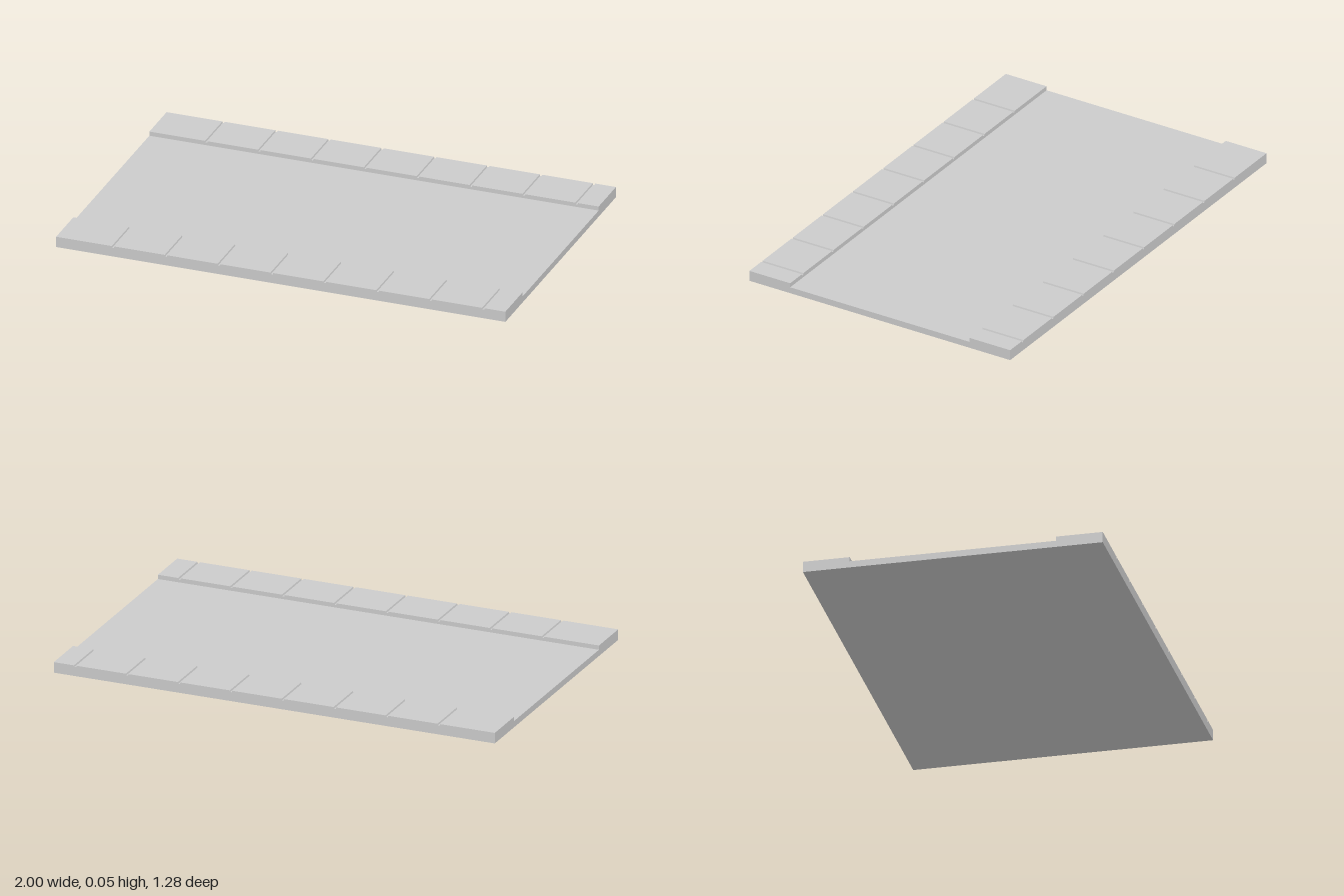
import * as THREE from 'three';

const LENGTH = 2, HALF_WIDTH = 0.64, PAVEMENT = 0.2;
const ROAD_TOP = 0.028, PAVEMENT_TOP = 0.047;
const FIRST_JOINT = -0.746, JOINT_STEP = 0.2355, JOINTS = 8, JOINT_DEPTH = 0.007;

// Side outline of a pavement: a long slab with narrow joints cut into its top
function pavementGeometry() {
  const shape = new THREE.Shape();
  shape.moveTo(-LENGTH / 2, 0);
  shape.lineTo(LENGTH / 2, 0);
  shape.lineTo(LENGTH / 2, PAVEMENT_TOP);
  for (let i = JOINTS - 1; i >= 0; i--) {
    const x = FIRST_JOINT + i * JOINT_STEP;
    shape.lineTo(x + 0.006, PAVEMENT_TOP);
    shape.lineTo(x + 0.004, PAVEMENT_TOP - JOINT_DEPTH);
    shape.lineTo(x - 0.004, PAVEMENT_TOP - JOINT_DEPTH);
    shape.lineTo(x - 0.006, PAVEMENT_TOP);
  }
  shape.lineTo(-LENGTH / 2, PAVEMENT_TOP);
  shape.closePath();
  return new THREE.ExtrudeGeometry(shape, { depth: PAVEMENT, bevelEnabled: false });
}

export function createModel() {
  const group = new THREE.Group();
  group.name = 'roadSection';
  const material = new THREE.MeshStandardMaterial({ color: 0xcccccc, flatShading: true });

  // Flat roadway between the pavements
  const roadWidth = 2 * (HALF_WIDTH - PAVEMENT);
  const road = new THREE.Mesh(new THREE.BoxGeometry(LENGTH, ROAD_TOP, roadWidth), material);
  road.name = 'roadway';
  road.position.y = ROAD_TOP / 2;
  group.add(road);

  // Raised pavements along both long edges
  const geometry = pavementGeometry();
  for (const [name, z] of [['frontPavement', HALF_WIDTH - PAVEMENT], ['backPavement', -HALF_WIDTH]]) {
    const pavement = new THREE.Mesh(geometry, material);
    pavement.name = name;
    pavement.position.z = z;
    group.add(pavement);
  }
  return group;
}
